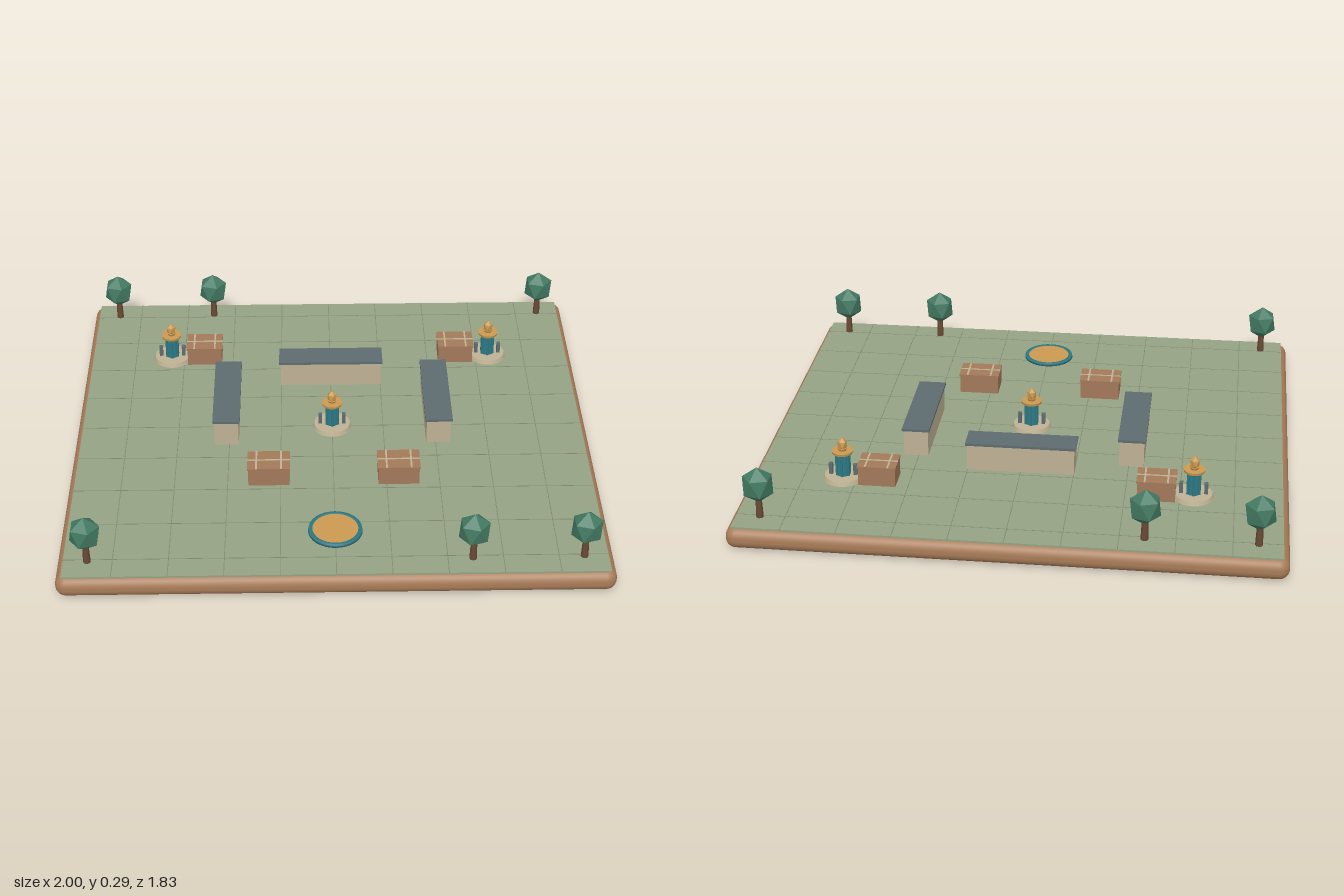
import * as THREE from 'three';
import { RoundedBoxGeometry } from 'three/addons/geometries/RoundedBoxGeometry.js';

const mat = (name, color, flatShading = false) => {
  const m = new THREE.MeshStandardMaterial({ color, flatShading });
  m.name = name;
  return m;
};

export function createModel() {
  const earth = mat('earth brown', 0xa87c58);
  const grass = mat('sage grass', 0x94a284);
  const seam = mat('grass seam', 0x7f8c74);
  const stone = mat('pale stone', 0xbfb294);
  const slate = mat('slate', 0x5d6c70);
  const wood = mat('crate wood', 0xa37a5a);
  const teal = mat('teal', 0x2d7b86);
  const gold = mat('gold', 0xcb9a50);
  const leaf = mat('leaf green', 0x437a63, true);
  const bark = mat('bark', 0x6a4a35);

  const model = new THREE.Group();
  model.name = 'gardenCourt';
  const GROUND = 0.087;

  const add = (parent, name, geometry, material, x, y, z) => {
    const m = new THREE.Mesh(geometry, material);
    m.name = name;
    m.position.set(x, y, z);
    parent.add(m);
    return m;
  };
  // Box and cylinder placed by the height of their underside
  const box = (p, name, w, h, d, m, x, y, z) =>
    add(p, name, new THREE.BoxGeometry(w, h, d), m, x, y + h / 2, z);
  const cyl = (p, name, rt, rb, h, n, m, x, y, z) =>
    add(p, name, new THREE.CylinderGeometry(rt, rb, h, n), m, x, y + h / 2, z);
  const group = (name, x, z) => {
    const g = new THREE.Group();
    g.name = name;
    g.position.set(x, GROUND, z);
    model.add(g);
    return g;
  };

  // Rounded slab with the lawn on top
  add(model, 'baseSlab', new RoundedBoxGeometry(2, 0.083, 1.83, 5, 0.038), earth, 0, 0.0415, 0);
  box(model, 'lawn', 1.955, 0.007, 1.79, grass, 0, GROUND - 0.007, 0);

  // Fine seams dividing the lawn into squares
  for (let i = -4; i <= 4; i++) {
    box(model, 'lawnSeam', 0.003, 0.001, 1.79, seam, i * 0.2, GROUND - 0.0003, 0);
    box(model, 'lawnSeam', 1.955, 0.001, 0.003, seam, 0, GROUND - 0.0003, i * 0.2);
  }

  // Three long stone blocks with slate caps
  for (const [x, z, w, d] of [[0, -0.33, 0.415, 0.105], [-0.41, -0.085, 0.105, 0.415], [0.41, -0.085, 0.105, 0.415]]) {
    const g = group('stall', x, z);
    box(g, 'stallBody', w - 0.012, 0.103, d - 0.012, stone, 0, 0, 0);
    box(g, 'stallRoof', w, 0.01, d, slate, 0, 0.102, 0);
  }

  // Crates with pale straps over the lid
  for (const s of [-1, 1]) {
    for (const [x, z, w] of [[0.245, 0.325, 0.16], [0.515, -0.49, 0.145]]) {
      const g = group('crate', s * x, z);
      box(g, 'crateBody', w - 0.006, 0.072, 0.106, wood, 0, 0, 0);
      box(g, 'crateLid', w, 0.008, 0.112, wood, 0, 0.071, 0);
      for (const t of [-1, 1]) box(g, 'crateStrap', 0.007, 0.002, 0.112, stone, t * w * 0.29, 0.0785, 0);
      box(g, 'crateStrap', w, 0.002, 0.007, stone, 0, 0.0785, 0);
    }
  }

  // Lantern pillars
  for (const [x, z] of [[0, 0], [-0.65, -0.49], [0.65, -0.49]]) {
    const g = group('lanternPillar', x, z);
    cyl(g, 'plinth', 0.07, 0.075, 0.016, 24, stone, 0, 0, 0);
    cyl(g, 'column', 0.024, 0.026, 0.092, 12, teal, 0, 0.014, 0);
    for (let i = 0; i < 6; i++) {
      const a = (i + 0.5) * Math.PI / 3;
      cyl(g, 'columnRib', 0.005, 0.005, 0.092, 6, teal, Math.cos(a) * 0.025, 0.014, Math.sin(a) * 0.025);
    }
    for (const s of [-1, 1]) box(g, 'sidePost', 0.014, 0.045, 0.016, slate, s * 0.046, 0.014, 0);
    cyl(g, 'topPlate', 0.04, 0.038, 0.01, 20, gold, 0, 0.105, 0);
    cyl(g, 'flameCup', 0.018, 0.014, 0.01, 12, gold, 0, 0.115, 0);
    const flame = add(g, 'flame', new THREE.IcosahedronGeometry(1, 0), gold, 0, 0.14, 0);
    flame.geometry.rotateZ(-Math.atan(2 / (1 + Math.sqrt(5))));
    flame.geometry.scale(0.02, 0.026, 0.02);
  }

  // Round basin
  const basin = group('basin', 0, 0.65);
  const rim = [[0.001, 0], [0.1, 0], [0.098, 0.011], [0.084, 0.011], [0.084, 0.004]];
  const rimGeometry = new THREE.LatheGeometry(rim.map(([r, y]) => new THREE.Vector2(r, y)), 32);
  add(basin, 'basinRim', rimGeometry, teal, 0, 0, 0);
  cyl(basin, 'basinFill', 0.085, 0.085, 0.008, 32, gold, 0, 0.002, 0);

  // Faceted trees
  const crown = new THREE.IcosahedronGeometry(1, 0);
  crown.rotateZ(-Math.atan(2 / (1 + Math.sqrt(5))));
  crown.scale(0.062, 0.07, 0.057);
  const trees = [[-0.89, -0.81], [0.89, -0.81], [-0.49, -0.815], [-0.89, 0.81], [0.89, 0.81], [0.49, 0.815]];
  for (const [x, z] of trees) {
    const g = group('tree', x, z);
    cyl(g, 'trunk', 0.011, 0.014, 0.09, 8, bark, 0, 0, 0);
    add(g, 'crown', crown, leaf, 0, 0.13, 0);
  }
  return model;
}
